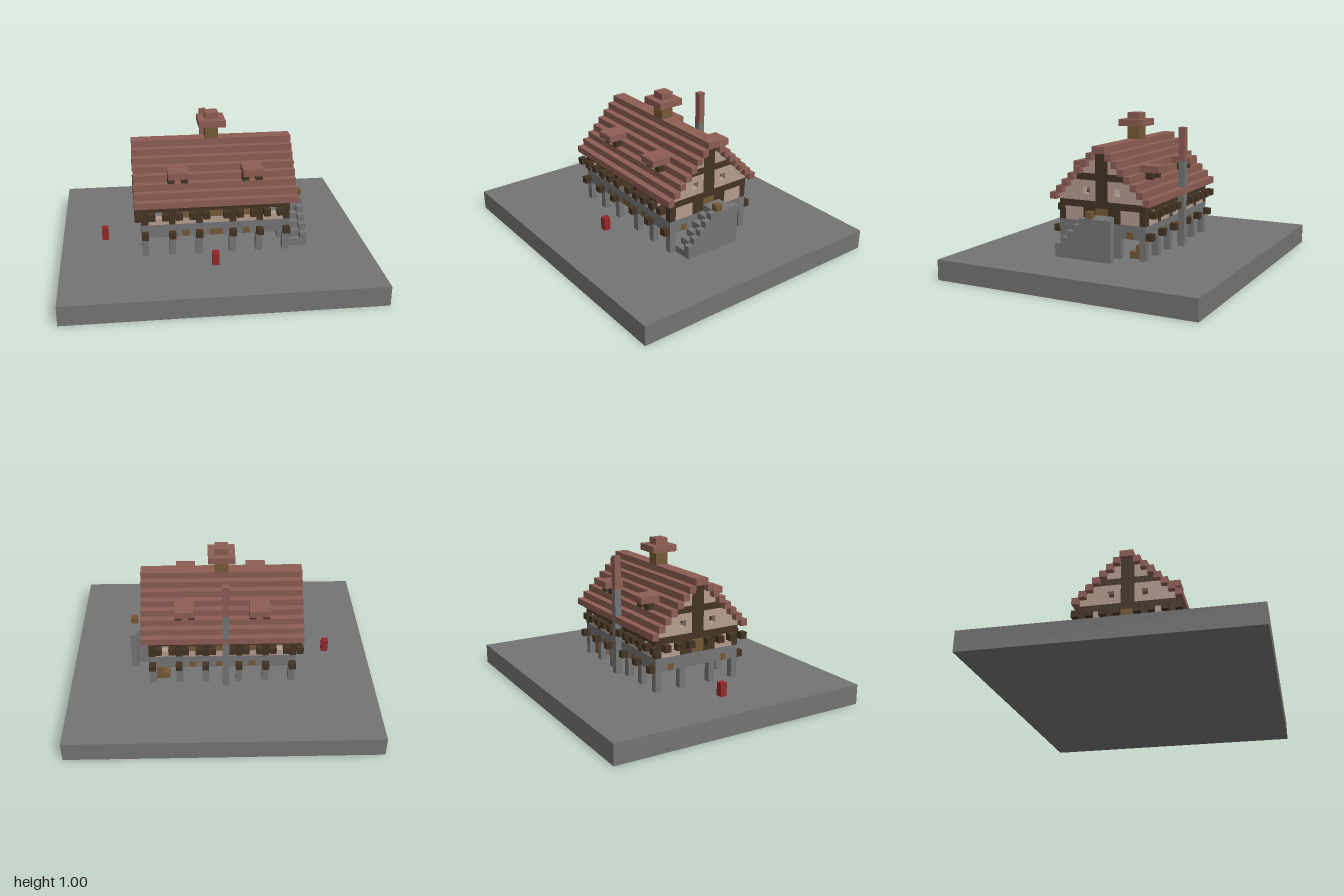
import * as THREE from 'three';

const U = 2 / 46; // size of one block

const mat = (name, color) => {
  const m = new THREE.MeshStandardMaterial({ color });
  m.name = name;
  return m;
};

export function createModel() {
  const stone = mat('stone', 0x747474);
  const tile = mat('roof tile', 0x8c5d53);
  const dark = mat('dark timber', 0x433323);
  const plaster = mat('plaster', 0xb59c8e);
  const wood = mat('light wood', 0x755935);
  const red = mat('red', 0x952729);
  const codes = { S: stone, D: dark, P: plaster, B: wood };

  const root = new THREE.Group();
  root.name = 'house';
  const part = (name) => {
    const g = new THREE.Group();
    g.name = name;
    root.add(g);
    return g;
  };
  // Box given by its limits, in blocks
  const box = (group, name, material, x0, x1, y0, y1, z0, z1) => {
    const mesh = new THREE.Mesh(
      new THREE.BoxGeometry((x1 - x0) * U, (y1 - y0) * U, (z1 - z0) * U), material);
    mesh.position.set((x0 + x1) / 2 * U, (y0 + y1) / 2 * U, (z0 + z1) / 2 * U);
    mesh.name = name;
    group.add(mesh);
  };
  // One centred course of a wall; each letter is a block, a space is an opening
  const course = (group, text, y, axis, at) => {
    const start = -text.length / 2;
    for (const run of text.matchAll(/S+|D+|P+|B+/g)) {
      const a = start + run.index, b = a + run[0].length, m = codes[run[0][0]];
      if (axis === 'x') box(group, 'wallCourse', m, a, b, y, y + 1, at, at + 1);
      else box(group, 'wallCourse', m, at, at + 1, y, y + 1, a, b);
    }
  };

  box(root, 'ground', stone, -23, 23, 0, 3, -20, 20);

  // Long walls, bottom course at y = 6
  const longRows = [
    'SSSSSSBSSSBBSSSBSSSSSS', 'S'.repeat(22),
    'DPPPDPPPDPPPPDPPPDPPPD', 'DP PDPBPDPBBPDPBPDP PD', 'D'.repeat(22),
  ];
  // End walls narrowing into the gables
  const endRows = [
    'SBSSSSSSSSBS', 'S'.repeat(12), 'PPPDDBBDDPPP', 'PPPDDBBDDPPP', 'D'.repeat(12),
    'PPPPPPDDPPPPPP', 'PPP PDDP PPP', 'PPPPDDPPPP', 'DDDDDDDD', 'PPDDPP', 'PDDP', 'DD',
  ];
  const longWalls = part('longWalls');
  const endWalls = part('endWalls');
  for (const at of [6, -7]) longRows.forEach((t, i) => course(longWalls, t, 6 + i, 'x', at));
  for (const at of [10, -11]) endRows.forEach((t, i) => course(endWalls, t, 6 + i, 'z', at));
  box(root, 'floor', stone, -10, 10, 7, 8, -6, 6);

  // Stone pillars with beam ends above them
  const pillars = part('pillars');
  const beams = part('beamEnds');
  for (const x of [-11, -7, -3, 2, 6, 10]) {
    for (const z of [6, -7]) {
      box(pillars, 'pillar', stone, x, x + 1, 3, 6, z, z + 1);
      const e = z > 0 ? 7 : -8;
      box(beams, 'lowerBeamEnd', dark, x, x + 1, 6, 7, e, e + 1);
    }
  }
  for (const x of [-11, 10]) {
    for (const z of [-3, 2]) box(pillars, 'pillar', stone, x, x + 1, 3, 6, z, z + 1);
  }
  for (const x of [-12, -10, -8, -6, -4, -2, 1, 3, 5, 7, 9]) {
    for (const z of [7, -8]) box(beams, 'upperBeamEnd', dark, x, x + 1, 9, 10, z, z + 1);
  }
  for (const z of [-6, -4, -2, 1, 3, 5]) {
    box(beams, 'sideBeamEnd', dark, -12, -11, 9, 10, z, z + 1);
  }

  // Stepped roof
  const roof = part('roof');
  for (let i = 0; i < 8; i++) {
    box(roof, 'tileRow', tile, -12, 12, 18 - i, 19 - i, i, i + 1);
    box(roof, 'tileRow', tile, -12, 12, 18 - i, 19 - i, -i - 1, -i);
  }

  // Dormers: flat roof on two short posts
  const dormers = part('dormers');
  for (const x of [-7, 4]) {
    for (const s of [1, -1]) {
      const span = (a, b) => (s > 0 ? [a, b] : [-b, -a]);
      box(dormers, 'dormerRoof', tile, x, x + 3, 15, 16, ...span(4, 7));
      for (const px of [x, x + 2]) {
        box(dormers, 'dormerPost', dark, px, px + 1, 14, 15, ...span(5, 6));
      }
    }
  }

  // Ridge chimney
  const chimney = part('chimney');
  box(chimney, 'stack', wood, -1, 1, 19, 21, -1, 1);
  box(chimney, 'wideCap', tile, -2, 2, 21, 22, -2, 2);
  box(chimney, 'topCap', tile, -1, 1, 22, 23, -1, 1);

  // Tall flue on the back wall
  const flue = part('backFlue');
  box(flue, 'flueBase', stone, -1, 0, 3, 16, -8, -7);
  box(flue, 'flueTop', tile, -1, 0, 16, 21, -8, -7);

  // Outer staircase with a stepped parapet
  const stairs = part('stairs');
  for (let i = 0; i < 5; i++) {
    box(stairs, 'step', stone, 11, 13, 3, 4 + i, 5 - i, 6 - i);
    box(stairs, 'parapet', stone, 13, 14, 3, 5 + i, 5 - i, 6 - i);
  }
  box(stairs, 'landing', stone, 11, 13, 3, 9, -2, 1);
  box(stairs, 'landingEdge', stone, 13, 14, 3, 9, -3, 1);
  box(stairs, 'newel', wood, 13, 14, 9, 10, 0, 1);

  // Crates beneath the house
  const crates = part('crates');
  box(crates, 'lowCrates', wood, 8, 10, 3, 4, -6, -4);
  box(crates, 'topCrate', wood, 9, 10, 4, 5, -6, -5);

  // Red posts in the yard
  const posts = part('redPosts');
  box(posts, 'frontPost', red, -1, 0, 3, 5, 10, 11);
  box(posts, 'sidePost', red, -17, -16, 3, 5, 0, 1);

  return root;
}
